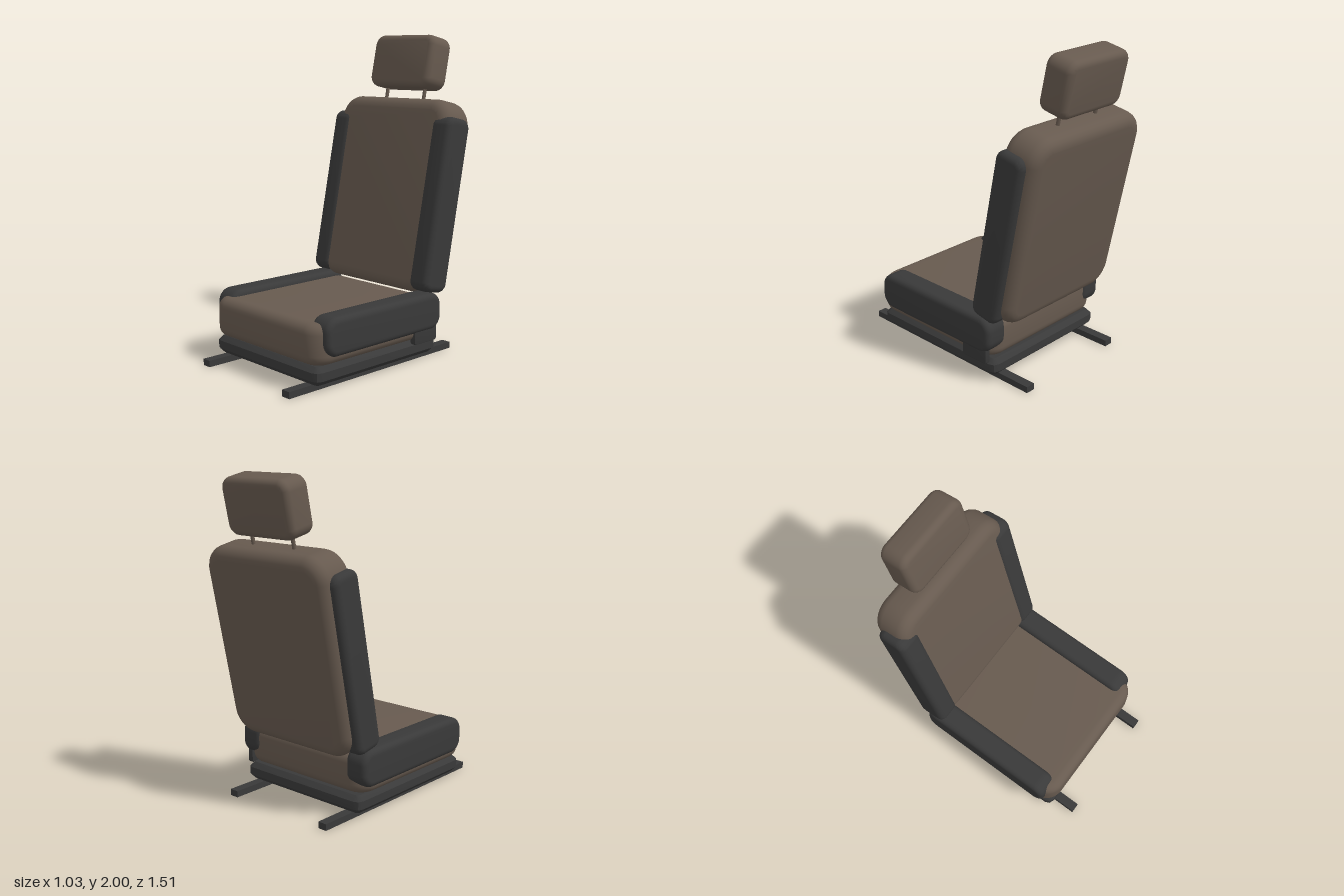
import * as THREE from 'three';
import { toCreasedNormals } from 'three/addons/utils/BufferGeometryUtils.js';

// Padded slab: rounded w x h outline, depth d, rolled edges, centred on the origin
function slab(w, h, d, corner, edge, steps = 5) {
  const x = w / 2 - edge, y = h / 2 - edge, r = corner - edge;
  const s = new THREE.Shape();
  s.moveTo(x, -y + r);
  s.lineTo(x, y - r);
  s.absarc(x - r, y - r, r, 0, Math.PI / 2, false);
  s.absarc(-x + r, y - r, r, Math.PI / 2, Math.PI, false);
  s.absarc(-x + r, -y + r, r, Math.PI, Math.PI * 1.5, false);
  s.absarc(x - r, -y + r, r, Math.PI * 1.5, Math.PI * 2, false);
  const depth = d - 2 * edge;
  const g = new THREE.ExtrudeGeometry(s, {
    depth, bevelEnabled: true, bevelSize: edge, bevelThickness: edge,
    bevelSegments: steps, curveSegments: steps,
  });
  g.translate(0, 0, -depth / 2);
  return toCreasedNormals(g, 0.6);
}

export function createModel() {
  const model = new THREE.Group();
  model.name = 'seat';
  const brown = new THREE.MeshStandardMaterial({ color: 0x675a4f });
  brown.name = 'brown upholstery';
  const charcoal = new THREE.MeshStandardMaterial({ color: 0x393939 });
  charcoal.name = 'charcoal trim';

  const add = (name, geometry, material, x, y, z, tilt = 0) => {
    const m = new THREE.Mesh(geometry, material);
    m.name = name;
    m.position.set(x, y, z);
    m.rotation.x = tilt;
    model.add(m);
    return m;
  };
  const lean = -0.2;

  // Chamfered base frame
  add('baseFrame', slab(0.94, 1.01, 0.11, 0.05, 0.03, 1).rotateX(Math.PI / 2), charcoal, 0, 0.095, 0.11);

  // Cushion, backrest and headrest
  add('seatCushion', slab(0.98, 1.01, 0.245, 0.12, 0.06).rotateX(Math.PI / 2), brown, 0, 0.273, 0.125);
  add('backrest', slab(0.95, 1.21, 0.25, 0.15, 0.07), brown, 0, 0.997, -0.48, lean);
  add('headrest', slab(0.52, 0.34, 0.19, 0.07, 0.04), brown, 0, 1.825, -0.634, lean - 0.01);

  for (const side of [-1, 1]) {
    const label = side > 0 ? 'left' : 'right';

    // Floor rail
    add(label + 'Rail', new THREE.BoxGeometry(0.06, 0.04, 1.36), charcoal, side * 0.373, 0.02, 0.08);

    // Side bolsters of the cushion and the backrest
    add(label + 'SeatBolster', slab(0.96, 0.23, 0.155, 0.085, 0.035).rotateY(Math.PI / 2),
      charcoal, side * 0.437, 0.317, 0.09);
    add(label + 'BackBolster', slab(0.205, 1.085, 0.155, 0.06, 0.04).rotateY(Math.PI / 2),
      charcoal, side * 0.437, 0.96, -0.44, lean);

    // Headrest post
    add(label + 'HeadrestPost', new THREE.CylinderGeometry(0.012, 0.012, 0.2, 12),
      brown, side * 0.163, 1.63, -0.595, lean);
  }

  // Buckle housing beside the cushion
  add('buckleHousing', slab(0.195, 0.17, 0.04, 0.015, 0.007, 2).rotateY(Math.PI / 2), charcoal, 0.482, 0.215, -0.257);

  return model;
}
